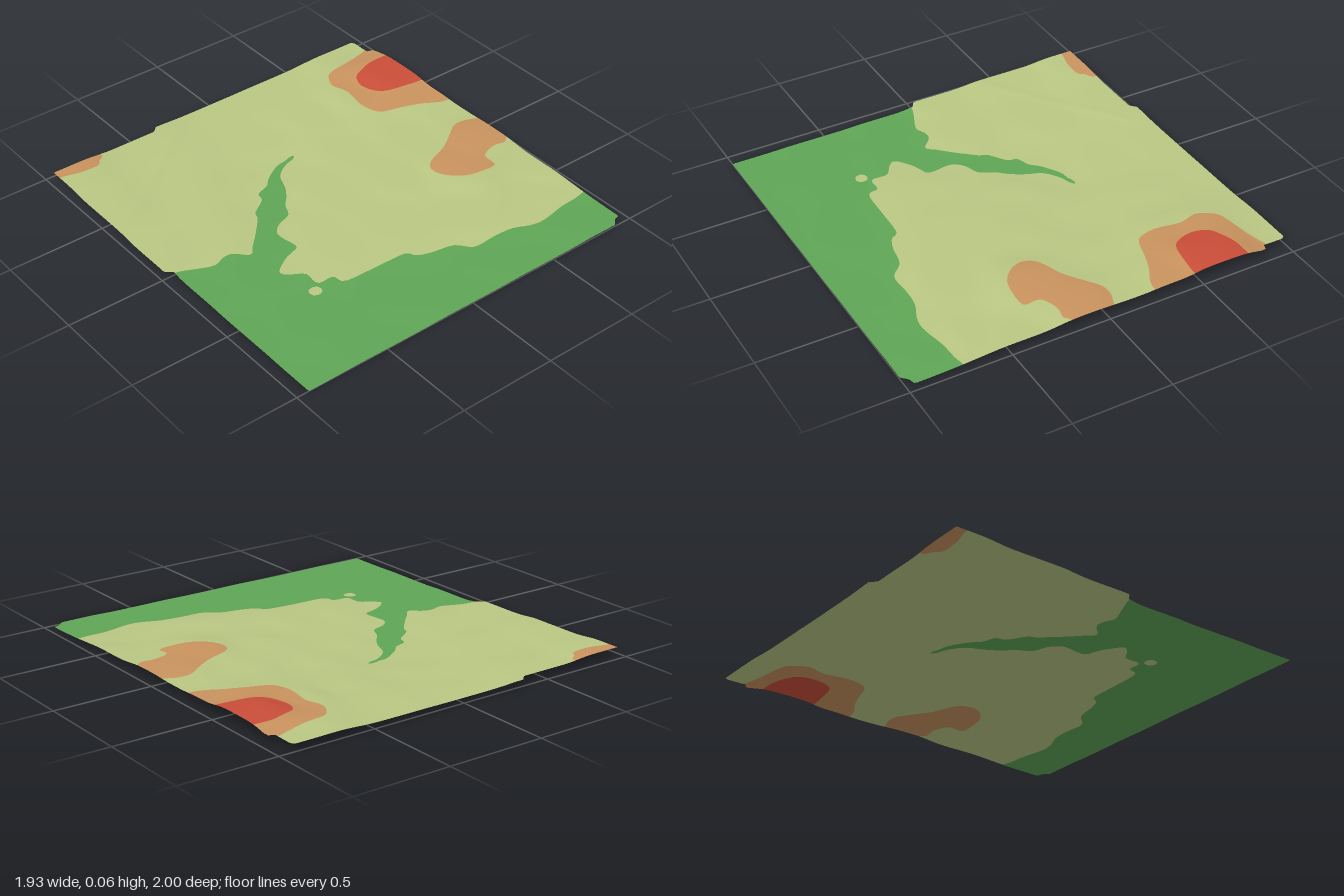
import * as THREE from 'three';

// Plan outlines as flat x, z pairs
const OUTLINE = [-.97, -.97, -.38, -.97, -.35, -1, .93, -1, .93, -.87, .965, -.87, .965, .96, .93, .97,
  .9, 1, -.935, 1, -.935, -.01, -.97, -.02];
const LOWLAND = [-1.1, 0, -.935, .005, -.845, .035, -.755, .07, -.695, .05, -.64, .055, -.58, .11, -.54, .07,
  -.47, 0, -.39, -.09, -.37, -.135, -.285, -.195, -.27, -.245, -.2, -.27, -.155, -.315, -.065, -.37,
  -.01, -.38, .05, -.393, .045, -.37, -.025, -.35, -.1, -.295, -.135, -.21, -.18, -.14, -.225, -.09,
  -.26, -.02, -.34, .01, -.39, .07, -.375, .19, -.42, .215, -.475, .235, -.555, .295, -.52, .34,
  -.465, .38, -.465, .465, -.38, .47, -.36, .53, -.18, .54, -.02, .55, .01, .59, .08, .62, .2, .645,
  .27, .71, .39, .71, .5, .72, .585, .755, .665, .765, .8, .74, .9, .735, .97, .725, 1.1, .72,
  1.1, 1.1, -1.1, 1.1];
const ISLET = [-.505, .468, -.477, .482, -.477, .515, -.505, .53, -.533, .515, -.533, .482];
const NORTHEAST_HILL = [1.1, -.92, .965, -.905, .9, -.885, .785, -.855, .655, -.835, .61, -.805, .575, -.73,
  .6, -.635, .58, -.5, .61, -.395, .715, -.355, .82, -.315, .9, -.27, .965, -.255, 1.1, -.25];
const EAST_HILL = [1.1, -.03, .965, -.04, .9, -.065, .83, -.065, .755, -.015, .655, .05, .53, .1, .49, .16,
  .515, .235, .585, .295, .675, .315, .765, .31, .77, .23, .86, .195, .93, .205, .965, .18, 1.1, .17];
const NORTHWEST_HILL = [-1.1, -.92, -.97, -.915, -.92, -.905, -.86, -.89, -.765, -.89, -.74, -.92,
  -.705, -.945, -.7, -.975, -.7, -1.1, -1.1, -1.1];
const PEAK = [1.1, -.77, .965, -.765, .865, -.765, .785, -.74, .72, -.71, .69, -.635, .715, -.545, .77, -.5,
  .875, -.48, .965, -.47, 1.1, -.47];

// Spot heights: x, z, height
const SPOTS = [-.95, .95, .001, -.4, 1, .002, .1, 1, .004, .5, 1, .006, .95, 1, .009, -.93, .5, .004, -.9, .15, .008,
  -.6, .6, .006, -.2, .75, .007, .3, .85, .007, .8, .8, .011, -.6, .25, .01, -.45, .1, .011, -.25, -.17, .012,
  -.08, -.33, .013, -.95, -.1, .021, -.6, -.1, .019, -.95, -.55, .033, -.92, -.95, .046, -.55, -.55, .026,
  -.5, -.95, .034, 0, -.6, .022, 0, -.98, .027, .35, -.95, .028, .35, -.6, .03, .3, -.25, .026, 0, -.1, .021,
  -.25, .25, .018, .1, .3, .022, .35, .1, .03, .4, .5, .023, .6, .2, .044, .85, .07, .046, .95, .45, .029,
  .8, .6, .02, .9, -.17, .039, .62, -.15, .034, .62, -.6, .043, .85, -.62, .061, .95, -.62, .062, .9, -.35, .045,
  .9, -.97, .037];

// Height: weighted blend of spot heights, plus a shallow fold across the back left
function height(x, z) {
  let sum = 0, total = 0;
  for (let i = 0; i < SPOTS.length; i += 3) {
    const d = (x - SPOTS[i]) ** 2 + (z - SPOTS[i + 1]) ** 2 + .006;
    const w = 1 / (d * d);
    sum += w * SPOTS[i + 2];
    total += w;
  }
  const across = (x + .97) * .6 + (z + .38) * .8;
  const fade = THREE.MathUtils.smoothstep(-x, .1, .4) * THREE.MathUtils.smoothstep(-z, .3, .5);
  const fold = .002 * fade * Math.exp(-((across / .03) ** 2));
  return Math.max(0, sum / total + fold);
}

function toPoints(flat, smooth) {
  const points = [];
  for (let i = 0; i < flat.length; i += 2) points.push(new THREE.Vector2(flat[i], flat[i + 1]));
  if (!smooth) return points;
  points.push(points[0].clone());
  return new THREE.SplineCurve(points).getPoints((points.length - 1) * 3).slice(0, -1);
}

// Signed distance to a closed outline, positive inside
function region(flat, smooth = true) {
  const points = toPoints(flat, smooth);
  return ([x, z]) => {
    let best = Infinity, inside = false;
    points.forEach((a, i) => {
      const b = points[(i + 1) % points.length];
      const ex = b.x - a.x, ez = b.y - a.y, px = x - a.x, pz = z - a.y;
      const t = THREE.MathUtils.clamp((px * ex + pz * ez) / (ex * ex + ez * ez || 1), 0, 1);
      best = Math.min(best, (px - t * ex) ** 2 + (pz - t * ez) ** 2);
      if ((a.y > z) !== (b.y > z) && x < a.x + ex * pz / ez) inside = !inside;
    });
    return (inside ? 1 : -1) * Math.sqrt(best);
  };
}

// Part of a polygon on the positive side of the field
function clip(corners, values, sign) {
  const kept = [];
  corners.forEach((a, i) => {
    const j = (i + 1) % corners.length, b = corners[j];
    const va = values[i] * sign, vb = values[j] * sign;
    if (va >= 0) kept.push(a);
    if ((va > 0 && vb < 0) || (va < 0 && vb > 0)) {
      const t = va / (va - vb);
      kept.push([a[0] + (b[0] - a[0]) * t, a[1] + (b[1] - a[1]) * t]);
    }
  });
  return kept;
}

// Divide triangles into those inside and outside a region
function divide(triangles, field) {
  const inside = [], outside = [];
  for (const triangle of triangles) {
    const values = triangle.map(field);
    for (const [sign, list] of [[1, inside], [-1, outside]]) {
      const polygon = clip(triangle, values, sign);
      for (let i = 2; i < polygon.length; i++) list.push([polygon[0], polygon[i - 1], polygon[i]]);
    }
  }
  return [inside, outside];
}

// Raise flat triangles onto the terrain with smooth normals
function drape(triangles) {
  const positions = [], normals = [], e = .01, n = new THREE.Vector3();
  for (const [x, z] of triangles.flat()) {
    positions.push(x, height(x, z), z);
    n.set(height(x - e, z) - height(x + e, z), 2 * e, height(x, z - e) - height(x, z + e)).normalize();
    normals.push(n.x, n.y, n.z);
  }
  const geometry = new THREE.BufferGeometry();
  geometry.setAttribute('position', new THREE.Float32BufferAttribute(positions, 3));
  geometry.setAttribute('normal', new THREE.Float32BufferAttribute(normals, 3));
  return geometry;
}

function material(name, color) {
  const m = new THREE.MeshStandardMaterial({ color, side: THREE.DoubleSide });
  m.name = name;
  return m;
}

export function createModel() {
  const model = new THREE.Group();
  model.name = 'terrainMap';
  const green = material('lowland green', 0x5fa656);
  const pale = material('pale olive', 0xbac783);
  const orange = material('hill orange', 0xc9935e);
  const red = material('peak red', 0xca4e39);

  // Flat grid trimmed to the map edge
  const step = 1 / 60, grid = [];
  for (let i = -59; i < 59; i++) {
    for (let j = -60; j < 60; j++) {
      const x = i * step, z = j * step;
      const a = [x, z], b = [x, z + step], c = [x + step, z + step], d = [x + step, z];
      grid.push([a, b, c], [a, c, d]);
    }
  }
  let [rest] = divide(grid, region(OUTLINE, false));

  // Height bands, each cut out of what remains
  const bands = [
    ['peak', PEAK, red], ['northeastHill', NORTHEAST_HILL, orange], ['eastHill', EAST_HILL, orange],
    ['northwestHill', NORTHWEST_HILL, orange], ['islet', ISLET, pale], ['lowland', LOWLAND, green],
  ];
  const addBand = (name, triangles, mat) => {
    const mesh = new THREE.Mesh(drape(triangles), mat);
    mesh.name = name;
    model.add(mesh);
  };
  for (const [name, outline, mat] of bands) {
    const [inside, outside] = divide(rest, region(outline));
    addBand(name, inside, mat);
    rest = outside;
  }
  addBand('midland', rest, pale);
  return model;
}
